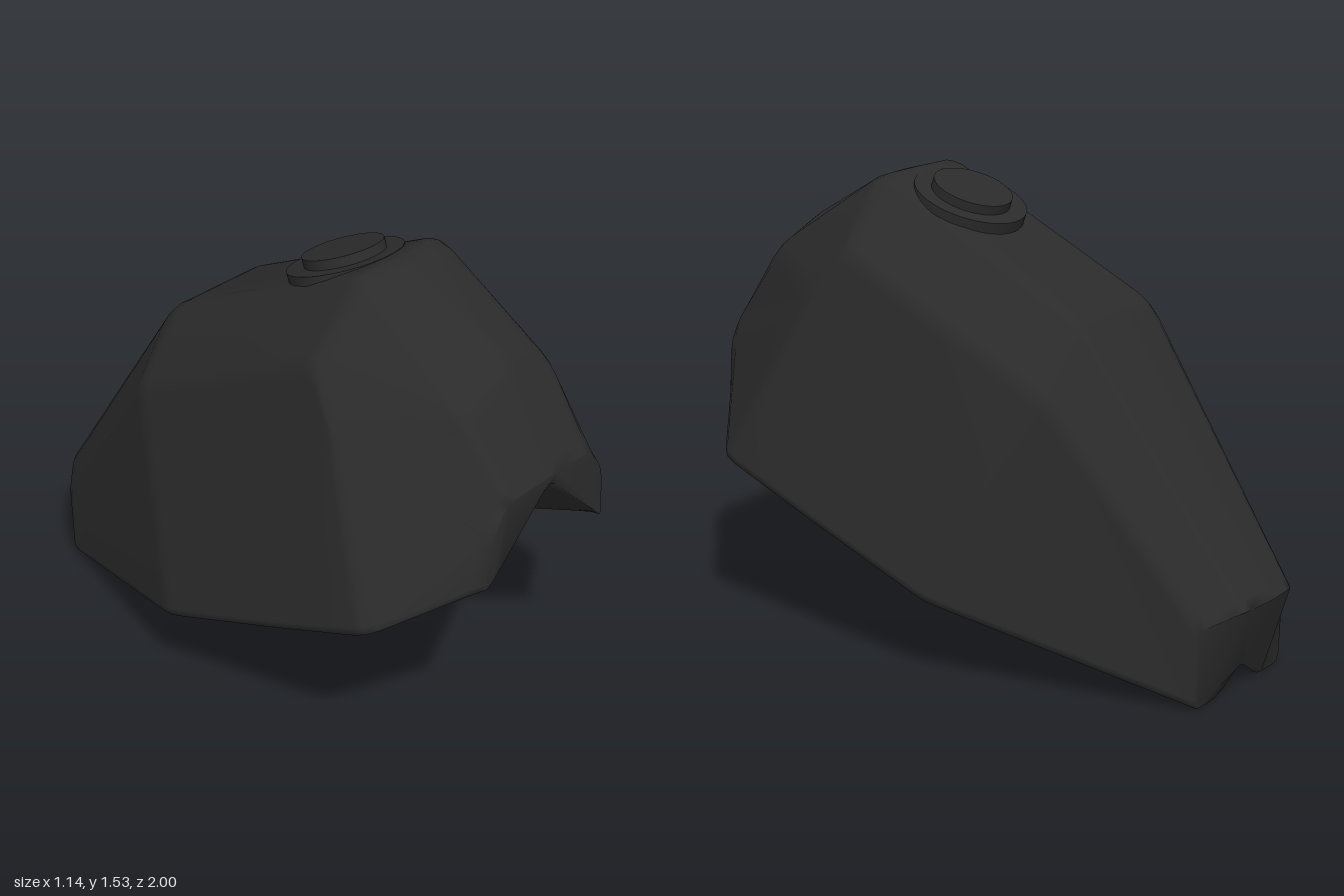
import * as THREE from 'three';

const V = (p) => new THREE.Vector3(...p);

// Point a short fixed distance from p toward q.
function step(p, q, size) {
  const len = p.distanceTo(q);
  return len < 1e-6 ? p.clone() : p.clone().lerp(q, Math.min(size, len * 0.4) / len);
}

// Replace a corner by a small three-point round between its neighbours.
function roundCorner(prev, p, next, size) {
  const a = step(p, prev, size), b = step(p, next, size);
  const mid = a.clone().add(b).multiplyScalar(0.25).addScaledVector(p, 0.5);
  return [a, mid, b];
}

// Half section: top centre, top edge, shoulder, bottom edge, tunnel lip, tunnel ridge.
const stations = [
  [[0, 1.0, 1], [0.2, 1.0, 1], [0.275, 0.9, 0.995], [0.29, 0.715, 0.995], [0.24, 0.765, 1], [0, 0.985, 1]],
  [[0, 1.325, 0.825], [0.22, 1.23, 0.83], [0.435, 1.15, 0.49], [0.579, 0.588, 0.77], [0.22, 0.67, 0.76], [0, 0.866, 0.76]],
  [[0, 1.537, 0.39], [0.185, 1.537, 0.39], [0.387, 1.31, 0.39], [0.578, 0.438, 0.39], [0.2, 0.52, 0.39], [0, 0.69, 0.39]],
  [[0, 1.157, -0.395], [0.2, 1.157, -0.395], [0.37, 0.93, -0.39], [0.579, 0.265, -0.07], [0.18, 0.33, -0.07], [0, 0.473, -0.07]],
  [[0, 0.315, -1], [0.14, 0.315, -0.99], [0.257, 0.27, -0.89], [0.257, 0, -0.88], [0.12, 0, -0.88], [0, 0.085, -0.895]],
];

function tankRings() {
  // Mirror each half section into a closed loop
  const loops = stations.map((half) => {
    const mirrored = half.slice(1, -1).reverse().map(([x, y, z]) => [-x, y, z]);
    return [...half, ...mirrored].map(V);
  });
  // Soften along the length, with a narrow band behind each end rim
  const last = loops.length - 1;
  const rows = loops.flatMap((loop, j) => {
    if (j === 0) return [loop, loop.map((p, i) => step(p, loops[1][i], 0.04))];
    if (j === last) return [loop.map((p, i) => step(p, loops[last - 1][i], 0.04)), loop];
    const trio = loop.map((p, i) => roundCorner(loops[j - 1][i], p, loops[j + 1][i], 0.045));
    return [0, 1, 2].map((k) => trio.map((t) => t[k]));
  });
  // Soften around each section
  return rows.map((loop) => loop.flatMap((p, i) => {
    const n = loop.length;
    return roundCorner(loop[(i + n - 1) % n], p, loop[(i + 1) % n], 0.035);
  }));
}

// Triangles closing an end ring; facing is +1 for the front, -1 for the tail.
function endFaces(ring, offset, facing) {
  const flat = ring.map((p) => new THREE.Vector2(p.x, p.y));
  return THREE.ShapeUtils.triangulateShape(flat, []).flatMap(([a, b, c]) => {
    const area = THREE.ShapeUtils.area([flat[a], flat[b], flat[c]]);
    const face = area * facing > 0 ? [a, b, c] : [a, c, b];
    return face.map((i) => i + offset);
  });
}

function shellGeometry(rings) {
  const n = rings[0].length, last = rings.length - 1, index = [];
  for (let j = 0; j < last; j++) {
    for (let i = 0; i < n; i++) {
      const a = j * n + i, b = j * n + (i + 1) % n, c = a + n, d = b + n;
      // Opposite diagonals on the two halves keep the tank symmetrical
      if (i >= 1 && i <= n / 2) index.push(a, b, d, a, d, c);
      else index.push(a, b, c, b, d, c);
    }
  }
  index.push(...endFaces(rings[0], 0, 1), ...endFaces(rings[last], last * n, -1));
  const g = new THREE.BufferGeometry().setFromPoints(rings.flat());
  g.setIndex(index);
  g.computeVertexNormals();
  return g;
}

export function createModel() {
  const group = new THREE.Group();
  group.name = 'fuelTank';
  const black = new THREE.MeshStandardMaterial({ color: 0x2b2b2b });
  black.name = 'satin black';
  const add = (parent, name, geometry) => {
    const mesh = new THREE.Mesh(geometry, black);
    mesh.name = name;
    parent.add(mesh);
    return mesh;
  };

  // Tank shell with the frame tunnel underneath
  add(group, 'tankShell', shellGeometry(tankRings()));

  // Filler cap, leaning back with the top of the tank
  const cap = new THREE.Group();
  cap.name = 'fillerCap';
  cap.position.set(0, 1.452, 0.172);
  cap.rotation.x = THREE.MathUtils.degToRad(-20);
  add(cap, 'capFlange', new THREE.CylinderGeometry(0.19, 0.19, 0.04, 48)).position.y = -0.018;
  add(cap, 'capLid', new THREE.CylinderGeometry(0.133, 0.133, 0.06, 48)).position.y = 0.004;
  group.add(cap);

  return group;
}
